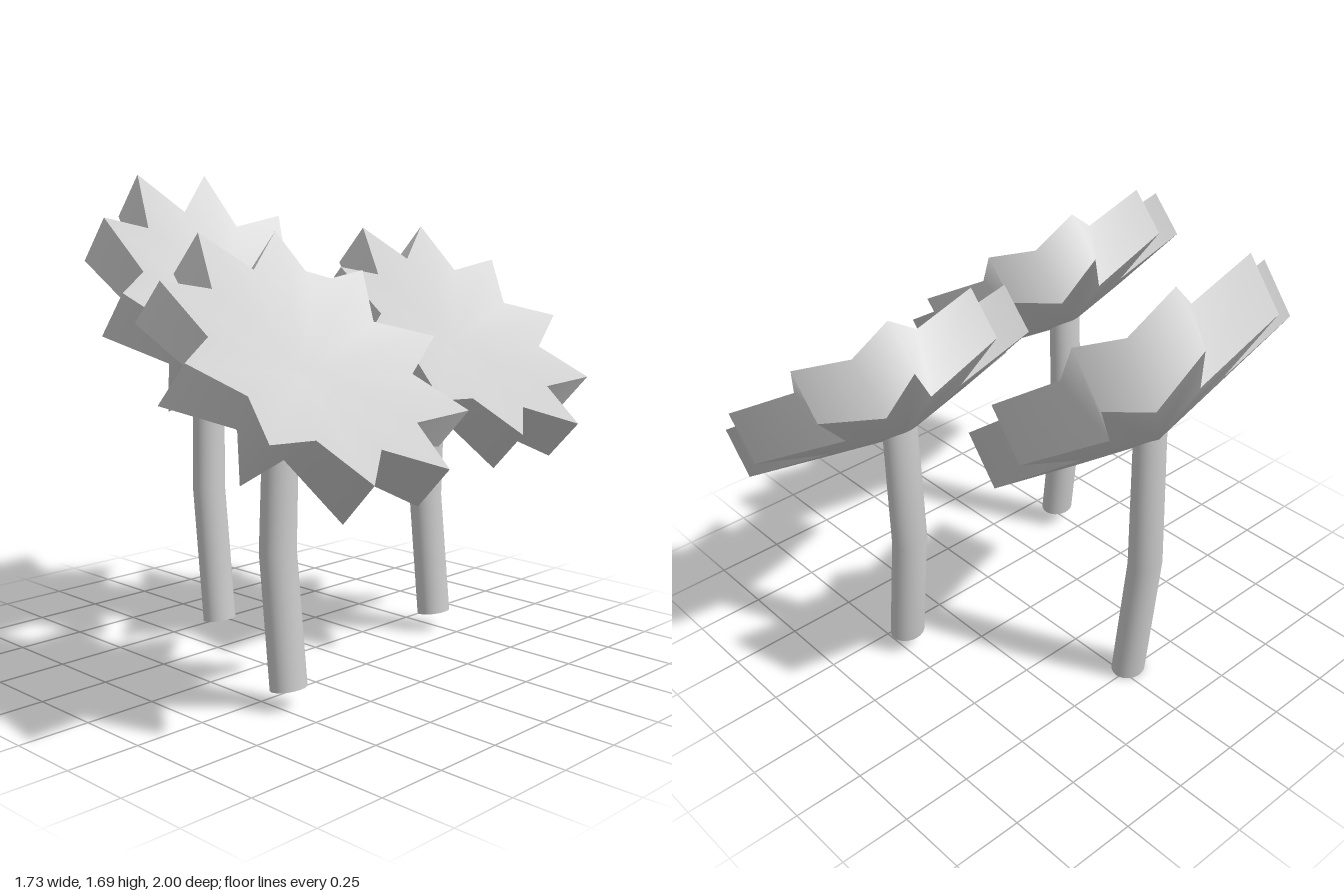
import * as THREE from 'three';
import { toCreasedNormals } from 'three/addons/utils/BufferGeometryUtils.js';

const POINTS = 10, R_TIP = 0.525, THICK = 0.177;
const R_NOTCH_FRONT = 0.367, R_NOTCH_BACK = 0.26;
const SLOPE = 0.117 / R_TIP;

// Dished ten-pointed star, notched deeper at the back, tilted towards +x
function headGeometry() {
  const n = POINTS * 2, pos = [], nor = [];
  const corner = (i, notch, depth) => {
    const r = i % 2 ? notch : R_TIP, a = (i * Math.PI) / POINTS;
    return [r * Math.cos(a), r * Math.sin(a), SLOPE * r - depth];
  };
  const normal = (i, out, z) => {
    const a = (i * Math.PI) / POINTS;
    return new THREE.Vector3(out * Math.cos(a), out * Math.sin(a), z).normalize().toArray();
  };
  for (let i = 0; i < n; i++) {
    const j = i + 1;
    const a = corner(i, R_NOTCH_FRONT, 0), b = corner(j, R_NOTCH_FRONT, 0);
    const c = corner(i, R_NOTCH_BACK, THICK), d = corner(j, R_NOTCH_BACK, THICK);
    // front dish
    pos.push(0, 0, 0, ...a, ...b);
    nor.push(0, 0, 1, ...normal(i, -SLOPE, 1), ...normal(j, -SLOPE, 1));
    // back cone
    pos.push(0, 0, -THICK, ...d, ...c);
    nor.push(0, 0, -1, ...normal(j, SLOPE, -1), ...normal(i, SLOPE, -1));
    // side wall, shaded smoothly around the rim
    const ni = normal(i, 1, 0), nj = normal(j, 1, 0);
    pos.push(...c, ...d, ...b, ...c, ...b, ...a);
    nor.push(...ni, ...nj, ...nj, ...ni, ...nj, ...ni);
  }
  const g = new THREE.BufferGeometry();
  g.setAttribute('position', new THREE.Float32BufferAttribute(pos, 3));
  g.setAttribute('normal', new THREE.Float32BufferAttribute(nor, 3));
  const tilt = Math.atan2(0.735, 0.678);
  return g.applyMatrix4(new THREE.Matrix4().makeBasis(
    new THREE.Vector3(0, 0, -1),
    new THREE.Vector3(-Math.sin(tilt), Math.cos(tilt), 0),
    new THREE.Vector3(Math.cos(tilt), Math.sin(tilt), 0)));
}

// Oval stem with one bend; rings are [x, y, x radius, slope], top to bottom
function stemGeometry(rings) {
  const g = new THREE.CylinderGeometry(1, 1, 2, 24, 2);
  const p = g.attributes.position;
  for (let i = 0; i < p.count; i++) {
    const [x, y, rx, slope] = rings[Math.round(1 - p.getY(i))];
    const dx = p.getX(i) * rx;
    p.setXYZ(i, x + dx, y + dx * slope, p.getZ(i) * 0.0665);
  }
  return toCreasedNormals(g, 0.6);
}

export function createModel() {
  const model = new THREE.Group();
  model.name = 'flowers';
  const material = new THREE.MeshStandardMaterial({ color: 0xcccccc });
  const head = headGeometry();

  // base, bend and top are [x, y] along each stem
  const flowers = [
    { name: 'tallFlower', x: -0.49, z: 0.025, stemZ: 0.007, base: [0, 0.01], bend: [-0.053, 0.52], top: [-0.043, 1.09], centre: [0.037, 1.19], scale: [1.02, 1.195] },
    { name: 'frontFlower', x: 0.352, z: 0.475, stemZ: 0, base: [0, 0.07], bend: [-0.047, 0.51], top: [-0.028, 1.0], centre: [0.064, 1.08], scale: [1, 1] },
    { name: 'backFlower', x: 0.157, z: -0.475, stemZ: 0, base: [0, 0.07], bend: [-0.047, 0.51], top: [-0.028, 1.0], centre: [0.064, 1.08], scale: [1, 1] },
  ];

  for (const f of flowers) {
    const flower = new THREE.Group();
    flower.name = f.name;
    flower.position.set(f.x, 0, f.z);

    const stem = new THREE.Mesh(stemGeometry([
      [...f.top, 0.043, 0],
      [...f.bend, 0.053, 0.05],
      [...f.base, 0.054, 0.13],
    ]), material);
    stem.name = 'stem';
    stem.position.z = f.stemZ;

    const bloom = new THREE.Mesh(head, material);
    bloom.name = 'flowerHead';
    bloom.position.set(f.centre[0], f.centre[1], 0);
    bloom.scale.set(f.scale[0], f.scale[1], 1);

    flower.add(stem, bloom);
    model.add(flower);
  }
  return model;
}
